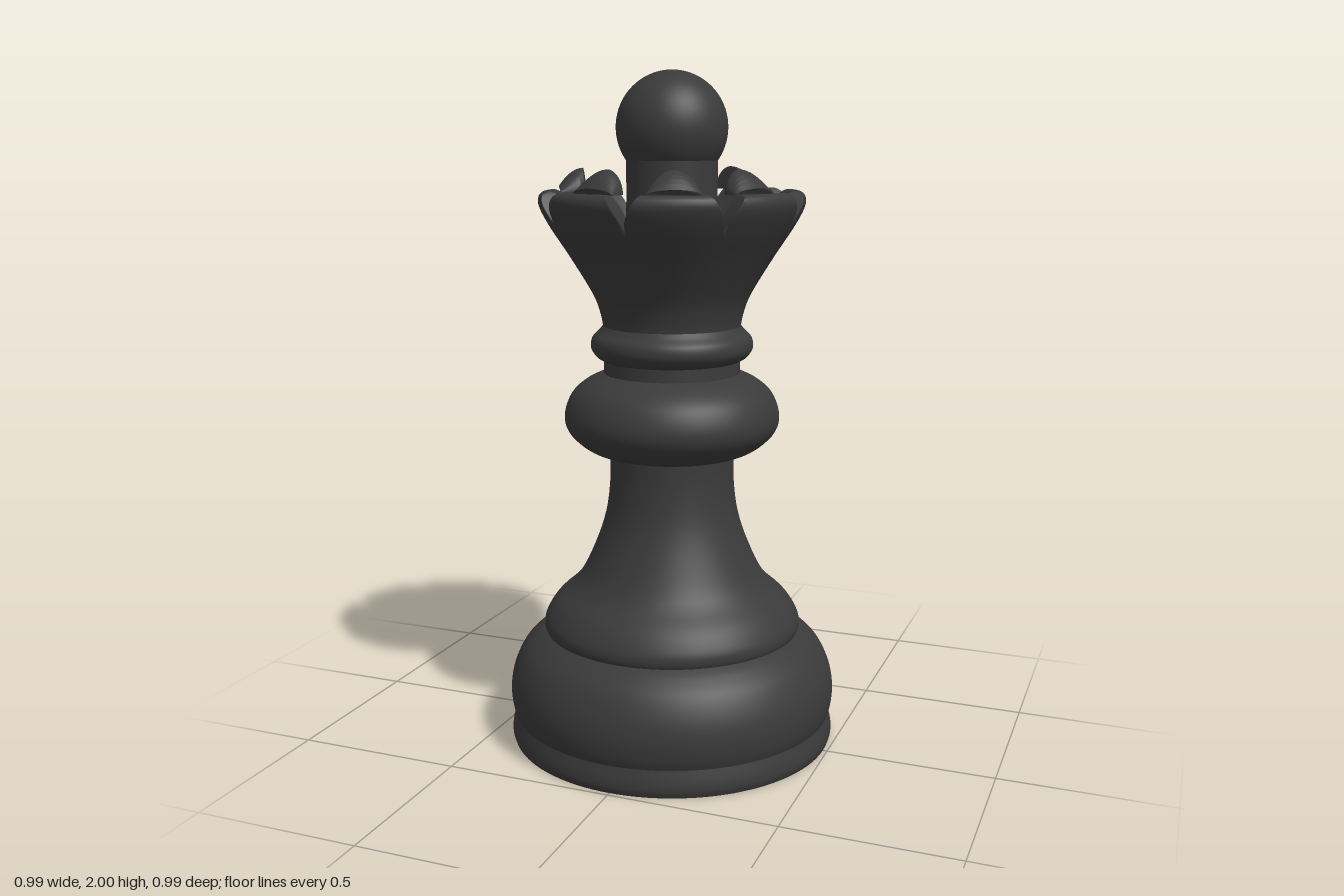
import * as THREE from 'three';

const SEGMENTS = 128;
const NOTCHES = 8;
const toVectors = (pts) => pts.map(([r, y]) => new THREE.Vector2(r, y));
const smooth = (pts, n = 32) => new THREE.SplineCurve(toVectors(pts)).getPoints(n);

// Turned sections from bottom to top, as [radius, height]
const SECTIONS = {
  footRim: [[0.487, 0], [0.493, 0.02], [0.491, 0.045], [0.482, 0.08]],
  footBulge: [[0.482, 0.08], [0.491, 0.11], [0.495, 0.16], [0.484, 0.22], [0.455, 0.28], [0.415, 0.32], [0.38, 0.342]],
  stem: [[0.383, 0.336], [0.389, 0.355], [0.383, 0.385], [0.35, 0.435], [0.282, 0.5], [0.232, 0.6], [0.199, 0.7], [0.186, 0.8], [0.185, 0.89]],
  collar: [[0.18, 0.882], [0.22, 0.888], [0.265, 0.91], [0.308, 0.952], [0.32, 1.0], [0.3, 1.06], [0.258, 1.1], [0.2, 1.128]],
  neck: [[0.203, 1.115], [0.202, 1.165]],
  neckRing: [[0.2, 1.163], [0.222, 1.175], [0.239, 1.2], [0.236, 1.23], [0.215, 1.253], [0.203, 1.268]],
};

// Crown cup with V-notches pressed into the rim
function crownGeometry() {
  const profile = smooth([
    [0.203, 1.262], [0.21, 1.3], [0.232, 1.36], [0.295, 1.465], [0.357, 1.56], [0.385, 1.615], [0.386, 1.643],
    [0.372, 1.658], [0.35, 1.658], [0.334, 1.645], [0.322, 1.61], [0.302, 1.55], [0.255, 1.475], [0.2, 1.435], [0.12, 1.425],
  ], 90);
  const top = profile.reduce((best, p, i) => (p.y > profile[best].y ? i : best), 0);
  // Radius of the outer or inner wall at a given height
  const radiusAt = (y, step) => {
    let i = top;
    while (profile[i + step] && profile[i].y > y) i += step;
    return profile[i].x;
  };
  const segments = 320;
  const geo = new THREE.LatheGeometry(profile, segments);
  const pos = geo.attributes.position;
  const pitch = (Math.PI * 2) / NOTCHES;
  for (let i = 0; i <= segments; i++) {
    const angle = (i / segments) * Math.PI * 2;
    const away = Math.abs(angle - Math.round(angle / pitch) * pitch) * 0.36;
    const limit = 1.56 + 0.1 * Math.pow(Math.min(away / 0.048, 1), 0.7);
    profile.forEach((p, j) => {
      if (p.y <= limit) return;
      const r = radiusAt(limit, j <= top ? -1 : 1);
      pos.setXYZ(i * profile.length + j, Math.sin(angle) * r, limit, Math.cos(angle) * r);
    });
  }
  geo.computeVertexNormals();
  return geo;
}

// Half-domed tooth: tall and narrow inside, low and wide outside
function toothGeometry() {
  const shape = new THREE.Shape();
  shape.absellipse(0, 0, 0.08, 0.068, 0, Math.PI, false);
  shape.closePath();
  const geo = new THREE.ExtrudeGeometry(shape, { depth: 1, steps: 6, bevelEnabled: false, curveSegments: 20 });
  const pos = geo.attributes.position;
  for (let i = 0; i < pos.count; i++) {
    const t = pos.getZ(i);
    const x = pos.getX(i) * (0.68 + 0.32 * Math.sqrt(t));
    const y = pos.getY(i) * (1 - 0.75 * t * t);
    const r = 0.257 + 0.07 * t;
    pos.setXYZ(i, Math.sin(x / r) * r, 1.656 + y, Math.cos(x / r) * r);
  }
  geo.computeVertexNormals();
  return geo;
}

export function createModel() {
  const model = new THREE.Group();
  model.name = 'chessQueen';
  const black = new THREE.MeshStandardMaterial({ color: 0x3a3a3a, side: THREE.DoubleSide });
  black.name = 'charcoal';
  const add = (name, geometry, parent = model) => {
    const mesh = new THREE.Mesh(geometry, black);
    mesh.name = name;
    parent.add(mesh);
    return mesh;
  };

  // Turned body and flat underside
  for (const [name, pts] of Object.entries(SECTIONS)) {
    add(name, new THREE.LatheGeometry(smooth(pts), SEGMENTS));
  }
  add('underside', new THREE.CircleGeometry(0.487, SEGMENTS).rotateX(Math.PI / 2));

  // Crown and its ball finial
  add('crown', crownGeometry());
  add('finialStem', new THREE.LatheGeometry(smooth([[0.2, 1.425], [0.16, 1.45], [0.14, 1.52], [0.133, 1.62], [0.133, 1.76]]), SEGMENTS));
  add('finialBall', new THREE.SphereGeometry(0.162, 64, 40)).position.y = 1.838;

  // Six teeth inside the rim, with none at the two rear side places
  const teeth = new THREE.Group();
  teeth.name = 'crownTeeth';
  model.add(teeth);
  const tooth = toothGeometry();
  for (const degrees of [22.5, 67.5, 157.5]) {
    for (const side of [-1, 1]) {
      add('crownTooth', tooth, teeth).rotation.y = side * THREE.MathUtils.degToRad(degrees);
    }
  }
  return model;
}
